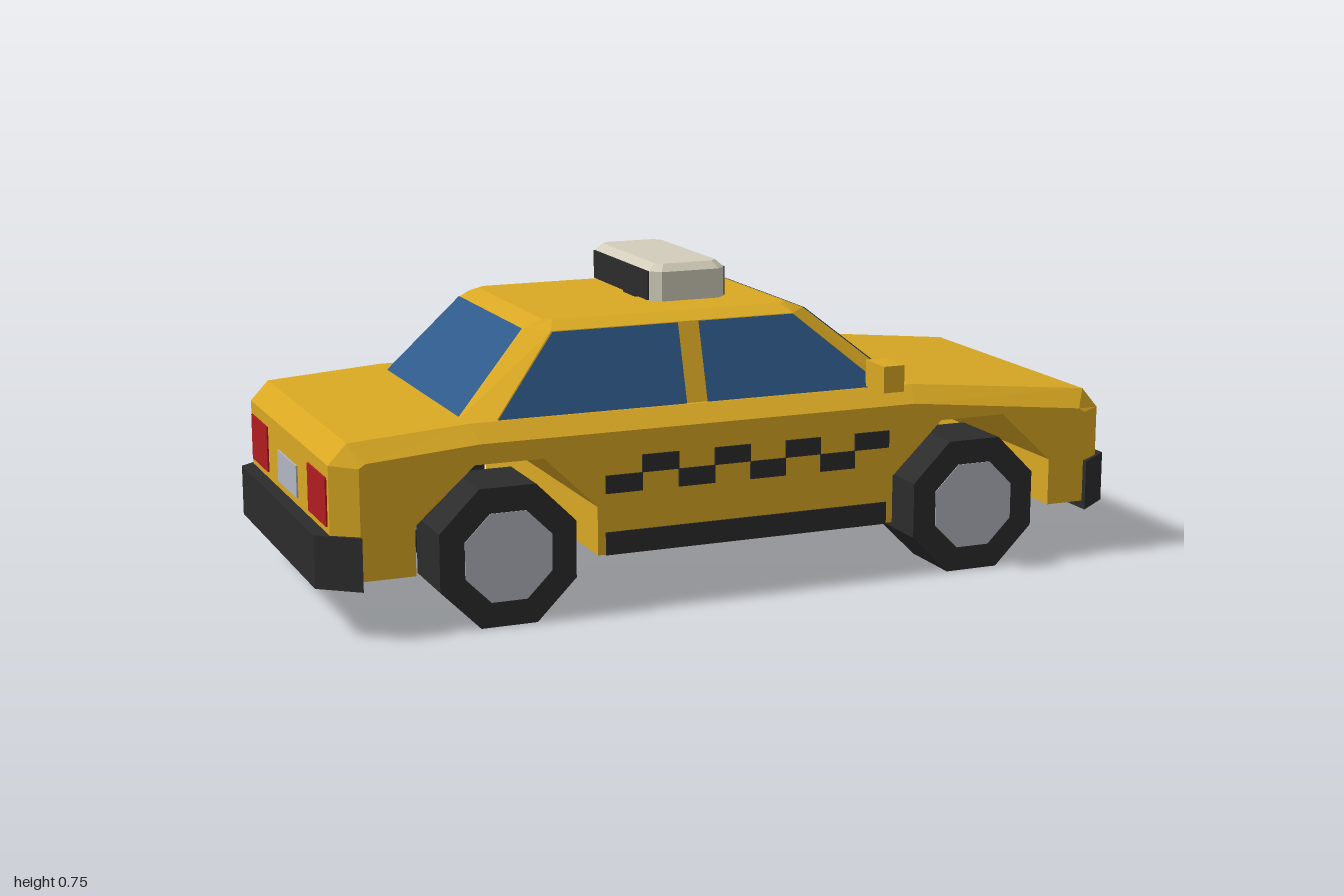
import * as THREE from 'three';

const mat = (name, color, side = THREE.FrontSide) =>
  new THREE.MeshStandardMaterial({ name, color, side, flatShading: true });

// Solid through matching counter-clockwise rings [{h, pts}], stacked along z (or y if upright)
function loft(rings, upright = false) {
  const pos = [];
  const put = (r, i) => {
    const p = r.pts[i % r.pts.length];
    pos.push(p[0], p[1], r.h);
  };
  for (let k = 0; k < rings.length - 1; k++) {
    const a = rings[k], b = rings[k + 1];
    for (let i = 0; i < a.pts.length; i++) {
      put(a, i); put(a, i + 1); put(b, i + 1);
      put(a, i); put(b, i + 1); put(b, i);
    }
  }
  const cap = (r, flip) => {
    const v = r.pts.map(p => new THREE.Vector2(p[0], p[1]));
    for (const f of THREE.ShapeUtils.triangulateShape(v, [])) {
      (flip ? [f[2], f[1], f[0]] : f).forEach(i => put(r, i));
    }
  };
  cap(rings[0], true);
  cap(rings[rings.length - 1], false);
  const g = new THREE.BufferGeometry();
  g.setAttribute('position', new THREE.Float32BufferAttribute(pos, 3));
  if (upright) g.rotateX(-Math.PI / 2);
  g.computeVertexNormals();
  return g;
}

// Half outline from +x to -x, closed by mirroring
const mirrored = half => [...half, ...half.map(([x, z]) => [x, -z]).reverse()];

// Flat four-cornered pane
function pane(c) {
  const g = new THREE.BufferGeometry();
  const o = [0, 1, 2, 0, 2, 3].flatMap(i => c[i]);
  g.setAttribute('position', new THREE.Float32BufferAttribute(o, 3));
  g.computeVertexNormals();
  return g;
}

export function createModel() {
  const car = new THREE.Group();
  car.name = 'taxi';
  const paint = mat('yellow paint', 0xd9a823);
  const dark = mat('black rubber', 0x2c2c2c);
  const glass = mat('blue glass', 0x2f5a8a, THREE.DoubleSide);
  const metal = mat('grey metal', 0xb2b6c1);
  const lamp = mat('cream lamp', 0xd0c590);
  const red = mat('red lamp', 0xb01c20);
  const signWhite = mat('sign ivory', 0xd2cdba);

  const add = (name, geo, m, x = 0, y = 0, z = 0) => {
    const mesh = new THREE.Mesh(geo, m);
    mesh.name = name;
    mesh.position.set(x, y, z);
    car.add(mesh);
    return mesh;
  };
  // Box from min/max ranges
  const box = (name, m, [x0, x1], [y0, y1], [z0, z1]) =>
    add(name, new THREE.BoxGeometry(x1 - x0, y1 - y0, z1 - z0), m,
      (x0 + x1) / 2, (y0 + y1) / 2, (z0 + z1) / 2);

  // Lower body: full outline in the middle, inset outline on the flanks
  const arch = (a, b, c, d) =>
    [[a, 0.135], [a, 0.248], [b, 0.372], [c, 0.372], [d, 0.248], [d, 0.135]];
  const under = [...arch(-0.787, -0.648, -0.487, -0.361), ...arch(0.385, 0.513, 0.68, 0.812)];
  const core = [[-0.968, 0.135], ...under, [0.968, 0.135], [0.968, 0.358], [0.925, 0.408],
    [0.45, 0.457], [-0.645, 0.457], [-0.925, 0.438], [-0.968, 0.392]];
  const flank = [[-0.91, 0.135], ...under, [0.908, 0.135], [0.908, 0.358], [0.893, 0.368],
    [0.44, 0.418], [-0.635, 0.418], [-0.895, 0.398], [-0.91, 0.388]];
  add('body', loft([
    { h: -0.4, pts: flank }, { h: -0.36, pts: core },
    { h: 0.36, pts: core }, { h: 0.4, pts: flank }]), paint);

  // Cabin with chamfered corner pillars and bevelled roof
  add('cabin', loft([
    { h: 0.45, pts: mirrored([[0.455, 0.287], [0.39, 0.352], [-0.585, 0.352], [-0.65, 0.287]]) },
    { h: 0.637, pts: mirrored([[0.225, 0.233], [0.17, 0.295], [-0.43, 0.295], [-0.472, 0.233]]) },
    { h: 0.654, pts: mirrored([[0.178, 0.23], [0.158, 0.247], [-0.41, 0.247], [-0.428, 0.23]]) },
  ], true), paint);

  // Windows
  const yb = 0.457, yt = 0.636, e = 0.004;
  add('windshield', pane([[0.447 + e, yb, 0.285], [0.447 + e, yb, -0.285],
    [0.226 + e, yt, -0.232], [0.226 + e, yt, 0.232]]), glass);
  add('rearWindow', pane([[-0.643 - e, yb, 0.285], [-0.643 - e, yb, -0.285],
    [-0.473 - e, yt, -0.232], [-0.473 - e, yt, 0.232]]), glass);
  for (const s of [1, -1]) {
    const zb = s * (0.35 + e), zt = s * (0.295 + e);
    add('rearSideWindow', pane([[-0.578, yb, zb], [-0.123, yb, zb],
      [-0.123, yt, zt], [-0.428, yt, zt]]), glass);
    add('frontSideWindow', pane([[-0.072, yb, zb], [0.38, yb, zb],
      [0.168, yt, zt], [-0.072, yt, zt]]), glass);
    box('mirror', paint, [0.335, 0.388], [0.46, 0.523], s > 0 ? [0.35, 0.443] : [-0.443, -0.35]);

    // Sill strip and checker band
    const skin = s > 0 ? [0.397, 0.404] : [-0.404, -0.397];
    box('sill', dark, [-0.342, 0.367], [0.134, 0.187], skin);
    for (let i = 0; i < 8; i++) {
      const x = -0.342 + i * 0.0893;
      box('checker', dark, [x, x + 0.0893], i % 2 ? [0.319, 0.36] : [0.277, 0.319], skin);
    }

    // Headlights and tail lights
    const side = (a, b) => (s > 0 ? [a, b] : [-b, -a]);
    box('headlight', lamp, [0.964, 0.972], [0.268, 0.348], side(0.2, 0.348));
    box('tailLight', red, [-0.972, -0.964], [0.252, 0.362], side(0.19, 0.345));

    // Octagonal wheels
    for (const x of [-0.577, 0.597]) {
      const disc = (apothem, width) => new THREE.CylinderGeometry(
        apothem / Math.cos(Math.PI / 8), apothem / Math.cos(Math.PI / 8), width, 8)
        .rotateY(Math.PI / 8).rotateX(Math.PI / 2);
      add('tyre', disc(0.16, 0.172), dark, x, 0.16, s * 0.326);
      add('hub', disc(0.102, 0.176), metal, x, 0.16, s * 0.326);
    }
  }
  box('grille', dark, [0.964, 0.972], [0.257, 0.332], [-0.175, 0.175]);
  box('numberPlate', metal, [-0.972, -0.964], [0.255, 0.33], [-0.088, 0.088]);

  // Bumpers with slanted ends
  const bar = mirrored([[1, 0.343], [0.91, 0.413]]);
  for (const [name, turn] of [['frontBumper', 0], ['rearBumper', Math.PI]]) {
    add(name, loft([{ h: 0.115, pts: bar }, { h: 0.236, pts: bar }], true), dark).rotation.y = turn;
  }

  // Roof sign
  const slab = (hx, hz, c) => mirrored([[hx, hz - c], [hx - c, hz], [c - hx, hz], [-hx, hz - c]]);
  box('signStand', dark, [-0.125, 0.025], [0.65, 0.67], [-0.038, 0.038]);
  add('roofSign', loft([
    { h: 0.668, pts: slab(0.094, 0.2, 0.022) },
    { h: 0.737, pts: slab(0.094, 0.2, 0.022) },
    { h: 0.754, pts: slab(0.077, 0.183, 0.016) }], true), signWhite, -0.05);
  for (const x of [-0.145, 0.045]) {
    box('signPanel', dark, [x - 0.003, x + 0.003], [0.669, 0.737], [-0.175, 0.175]);
  }
  return car;
}
